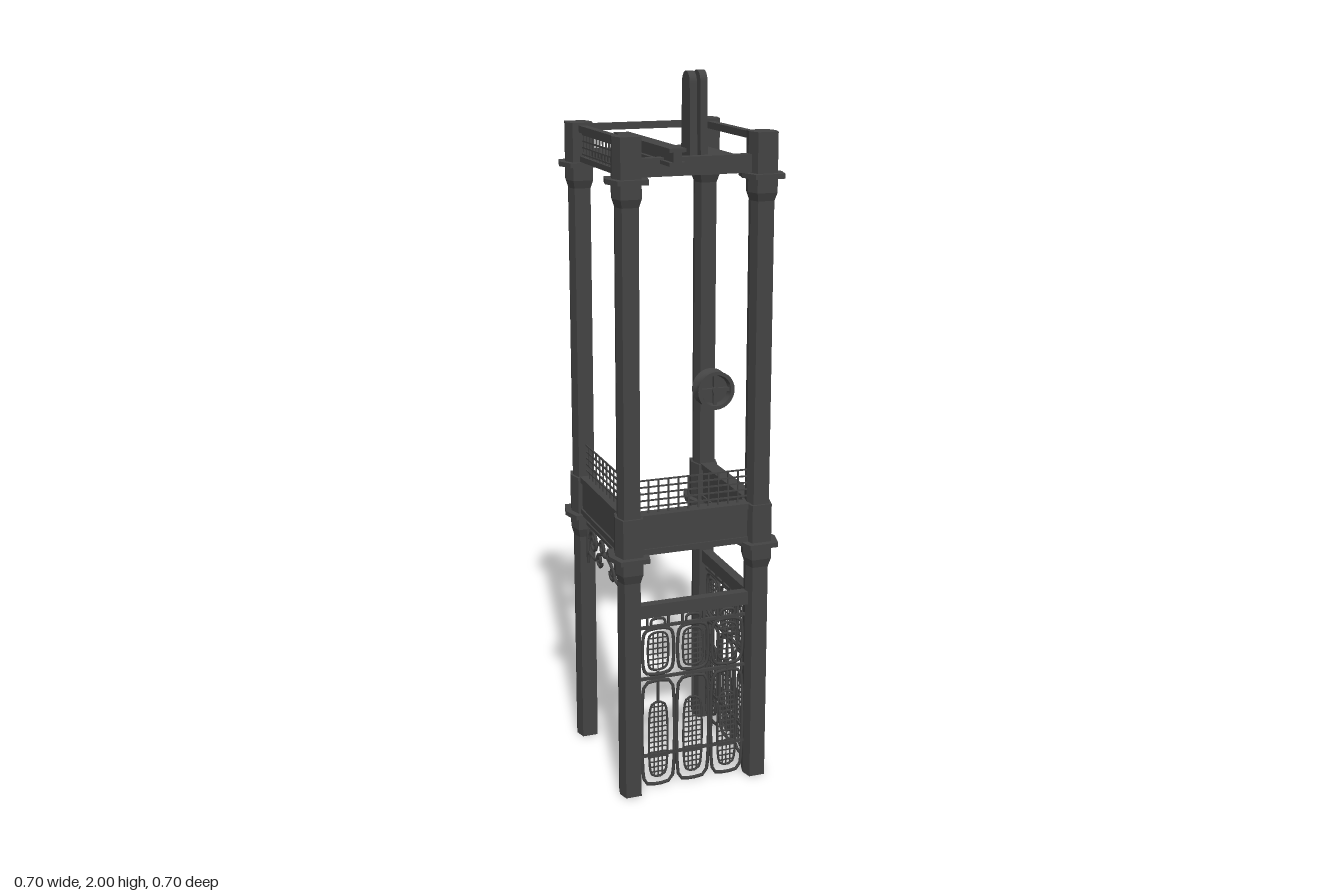
import * as THREE from 'three';
import { toCreasedNormals } from 'three/addons/utils/BufferGeometryUtils.js';

const HX = 0.1885, HZ = 0.204; // half spacing of the posts

export function createModel() {
  const iron = new THREE.MeshStandardMaterial({ color: 0x434343 });
  iron.name = 'dark iron';
  const root = new THREE.Group();
  root.name = 'liftTower';
  const frame = new THREE.Group();
  frame.name = 'frame';
  frame.rotation.y = Math.PI / 4;
  root.add(frame);

  const add = (parent, name, geo, x = 0, y = 0, z = 0) => {
    const m = new THREE.Mesh(geo, iron);
    m.name = name;
    m.position.set(x, y, z);
    parent.add(m);
    return m;
  };
  const box = (parent, name, x0, x1, y0, y1, z0, z1) =>
    add(parent, name, new THREE.BoxGeometry(x1 - x0, y1 - y0, z1 - z0),
      (x0 + x1) / 2, (y0 + y1) / 2, (z0 + z1) / 2);
  const group = (parent, name) => {
    const g = new THREE.Group();
    g.name = name;
    parent.add(g);
    return g;
  };
  const tube = (parent, name, pts, r, closed = false, seg = 24) =>
    add(parent, name, new THREE.TubeGeometry(
      new THREE.CatmullRomCurve3(pts, closed, 'centripetal'), seg, r, 5, closed));

  // Six-sided post section with blunt sides
  const hexPiece = (y0, y1, s0, s1) => {
    const g = new THREE.CylinderGeometry(0.067 * s1, 0.067 * s0, y1 - y0, 6, 1, false, Math.PI / 6).toNonIndexed();
    const p = g.attributes.position;
    for (let i = 0; i < p.count; i++) {
      p.setX(i, p.getX(i) * (Math.abs(p.getZ(i)) > 0.01 ? 1.25 : 0.85));
    }
    g.translate(0, (y0 + y1) / 2, 0);
    g.computeVertexNormals();
    return g;
  };
  const postPieces = [
    ['lowerShaft', 0, 0.67, 0.55, 0.55], ['lowerCapitalTaper', 0.645, 0.67, 0.55, 0.68],
    ['lowerCapital', 0.67, 0.71, 0.68, 0.68], ['lowerFlange', 0.708, 0.721, 1, 1],
    ['middleBlock', 0.72, 0.83, 0.68, 0.68], ['upperShaft', 0.83, 1.7, 0.55, 0.55],
    ['upperCapitalTaper', 1.668, 1.69, 0.55, 0.68], ['upperCapital', 1.69, 1.73, 0.68, 0.68],
    ['upperFlange', 1.728, 1.741, 1, 1], ['postTop', 1.74, 1.848, 0.68, 0.68],
  ];
  for (const sx of [-1, 1]) for (const sz of [-1, 1]) {
    const post = group(frame, 'post');
    post.position.set(sx * HX, 0, sz * HZ);
    for (const [n, ...a] of postPieces) add(post, n, hexPiece(...a));
  }

  // One side of the tower: x runs along it, z points outward
  const side = (name, angle, offset) => {
    const pivot = group(frame, name);
    pivot.rotation.y = angle;
    const g = group(pivot, name + 'Parts');
    g.position.z = offset;
    return g;
  };
  const gateSide = side('mainGateSide', 0, HZ);
  const sideGate = side('sideGateSide', Math.PI / 2, HX);
  const entrance = side('entranceSide', -Math.PI / 2, HX);
  const rear = side('rearSide', Math.PI, HZ + 0.012);

  // Wire railing
  const railing = (parent, half, y0, y1, cols, rows) => {
    const g = group(parent, 'wireRailing'), t = 0.002;
    for (let i = 0; i <= cols; i++) {
      const x = -half + 2 * half * i / cols;
      box(g, 'railingWire', x - t, x + t, y0, y1, -t, t);
    }
    for (let j = 1; j <= rows; j++) {
      const y = y0 + (y1 - y0) * j / rows;
      box(g, 'railingWire', -half, half, y - t, y + t, -t, t);
    }
  };
  railing(gateSide, 0.16, 0.83, 0.925, 11, 5);
  railing(entrance, 0.175, 0.83, 0.925, 11, 5);
  railing(entrance, 0.175, 1.745, 1.835, 13, 5);

  // Beams with a raised border, and top bars
  const beam = (parent, half) => {
    box(parent, 'middleBeam', -half, half, 0.725, 0.825, -0.016, 0.016);
    box(parent, 'beamUpperEdge', -half, half, 0.815, 0.832, -0.021, 0.021);
    box(parent, 'beamLowerEdge', -half, half, 0.718, 0.735, -0.021, 0.021);
  };
  beam(gateSide, HX);
  beam(sideGate, HZ);
  beam(entrance, HZ);
  for (const [p, half, w] of [[sideGate, HZ, 0.011], [entrance, HZ, 0.011], [rear, HX, 0.008]]) {
    box(p, 'topBar', -half, half, 1.822, 1.841, -w, w);
  }
  box(gateSide, 'topBeam', -HX, HX, 1.742, 1.79, -0.014, 0.014);
  box(entrance, 'topLowerBar', -HZ, HZ, 1.742, 1.757, -0.008, 0.008);

  // Rounded wire loop, and a loop filled with mesh
  const loop = (parent, name, x, y0, y1, w, r, t) => {
    const h = w / 2, pts = [];
    for (const [sx, cy, a0] of [[1, y1 - r, 0], [-1, y1 - r, 1], [-1, y0 + r, 2], [1, y0 + r, 3]]) {
      for (let k = 0; k <= 2; k++) {
        const a = (a0 + k / 2) * Math.PI / 2;
        pts.push(new THREE.Vector3(x + sx * (h - r) + r * Math.cos(a), cy + r * Math.sin(a), 0));
      }
    }
    tube(parent, name, pts, t, true, 36);
  };
  const meshLoop = (parent, x, y0, y1, w, r) => {
    loop(parent, 'panelLoop', x, y0, y1, w, r, 0.0035);
    const t = 0.0016, h = w / 2;
    for (const f of [-0.5, 0, 0.5]) {
      const inset = r * 0.2;
      box(parent, 'panelWire', x + f * h - t, x + f * h + t, y0 + inset, y1 - inset, -t, t);
    }
    const n = Math.round((y1 - y0) / 0.016);
    for (let i = 1; i < n; i++) {
      const y = y0 + (y1 - y0) * i / n;
      const d = Math.max(0, r - Math.min(y - y0, y1 - y));
      const e = h - r + Math.sqrt(Math.max(0, r * r - d * d));
      box(parent, 'panelWire', x - e, x + e, y - t, y + t, -t, t);
    }
  };
  // Gate of three ornamental panels
  const gate = (parent, half, barY) => {
    const g = group(parent, 'gate'), pitch = 2 * half / 3;
    box(parent, 'gateTopBar', -half - 0.02, half + 0.02, barY, barY + 0.038, -0.014, 0.014);
    for (const [y, t] of [[0.105, 0.004], [0.343, 0.004], [0.497, 0.004]]) {
      box(g, 'gateRail', -half, half, y - t, y + t, -0.004, 0.004);
    }
    for (let i = -1; i <= 1; i++) {
      const x = i * pitch;
      loop(g, 'upperFrame', x, 0.355, 0.49, pitch * 0.84, 0.022, 0.005);
      meshLoop(g, x, 0.367, 0.478, pitch * 0.54, 0.018);
      loop(g, 'lowerFrame', x, 0.014, 0.332, pitch * 0.84, 0.02, 0.005);
      meshLoop(g, x, 0.035, 0.268, pitch * 0.46, 0.022);
      box(g, 'panelStem', x - 0.003, x + 0.003, 0.268, 0.36, -0.003, 0.003);
      loop(g, 'topLoop', x, 0.495, 0.52, pitch * 0.4, 0.011, 0.004);
      for (const s of [-1, 1]) {
        box(g, 'hangerRod', x + s * pitch * 0.3 - 0.003, x + s * pitch * 0.3 + 0.003, 0.49, barY, -0.003, 0.003);
      }
    }
  };
  gate(gateSide, HX - 0.032, 0.53);
  gate(sideGate, HZ - 0.036, 0.517);

  // Scrollwork over the entrance
  const scroll = group(entrance, 'scrollwork');
  box(scroll, 'scrollTopBar', -0.17, 0.17, 0.684, 0.694, -0.005, 0.005);
  const spiral = (cx, cy, r0, turns, a0, s) => {
    const pts = [];
    for (let i = 0; i <= 18; i++) {
      const f = i / 18, a = a0 + f * turns * Math.PI * 2, r = r0 * (1 - 0.8 * f);
      pts.push(new THREE.Vector3(s * (cx + r * Math.cos(a)), cy + r * Math.sin(a), 0));
    }
    tube(scroll, 'scroll', pts, 0.005, false, 36);
  };
  for (const s of [-1, 1]) {
    spiral(0.115, 0.645, 0.036, 1.6, 0, s);
    spiral(0.06, 0.612, 0.024, 1.4, Math.PI, s);
    spiral(0.035, 0.655, 0.022, 1.4, 0, s);
    const v = (x, y) => new THREE.Vector3(s * x, y, 0);
    tube(scroll, 'scrollStem', [v(0.168, 0.565), v(0.158, 0.6), v(0.135, 0.598), v(0.09, 0.6), v(0.05, 0.63), v(0, 0.645)], 0.005);
    tube(scroll, 'scrollStem', [v(0.168, 0.69), v(0.168, 0.63), v(0.168, 0.565)], 0.005);
  }
  add(scroll, 'scrollBoss', new THREE.SphereGeometry(0.01, 10, 8), 0, 0.645, 0);

  // Roof deck, with the hoist beam running out past the gate
  box(frame, 'roofDeck', -0.165, 0.165, 1.743, 1.775, -0.194, 0.2);
  box(frame, 'hoistBeamLowerFlange', -0.101, -0.056, 1.775, 1.785, -0.16, 0.287);
  box(frame, 'hoistBeamWeb', -0.09, -0.067, 1.785, 1.81, -0.16, 0.287);
  box(frame, 'hoistBeamUpperFlange', -0.101, -0.056, 1.81, 1.82, -0.16, 0.287);

  // Two upright round-topped plates
  const plate = new THREE.Shape();
  plate.moveTo(-0.034, 0);
  plate.lineTo(0.034, 0);
  plate.lineTo(0.028, 0.197);
  plate.absarc(0, 0.197, 0.028, 0, Math.PI, false);
  plate.lineTo(-0.034, 0);
  const plateGeo = new THREE.ExtrudeGeometry(plate, { depth: 0.02, bevelEnabled: false, curveSegments: 14 });
  plateGeo.translate(0, 0, -0.01);
  plateGeo.rotateY(Math.PI / 2);
  add(frame, 'uprightPlate', plateGeo, 0.057, 1.775, 0.09);
  add(frame, 'uprightPlate', plateGeo, 0.015, 1.775, 0.122);

  // Grooved pulley wheel with cross spokes
  const pulley = group(frame, 'pulley');
  pulley.position.set(0.0325, 1.18, 0.262);
  const rim = [[0.042, -0.023], [0.052, -0.023], [0.045, -0.013], [0.041, 0], [0.045, 0.013],
    [0.052, 0.023], [0.042, 0.023], [0.036, 0], [0.042, -0.023]].map(([x, y]) => new THREE.Vector2(x, y));
  const rimGeo = toCreasedNormals(new THREE.LatheGeometry(rim, 28), 0.7);
  rimGeo.rotateX(Math.PI / 2);
  add(pulley, 'pulleyRim', rimGeo);
  const disc = new THREE.CylinderGeometry(0.04, 0.04, 0.012, 28);
  disc.rotateX(Math.PI / 2);
  add(pulley, 'pulleyDisc', disc);
  const hub = new THREE.CylinderGeometry(0.01, 0.01, 0.044, 14);
  hub.rotateX(Math.PI / 2);
  add(pulley, 'pulleyHub', hub);
  box(pulley, 'pulleySpoke', -0.041, 0.041, -0.005, 0.005, -0.016, 0.016);
  box(pulley, 'pulleySpoke', -0.005, 0.005, -0.041, 0.041, -0.016, 0.016);

  return root;
}
